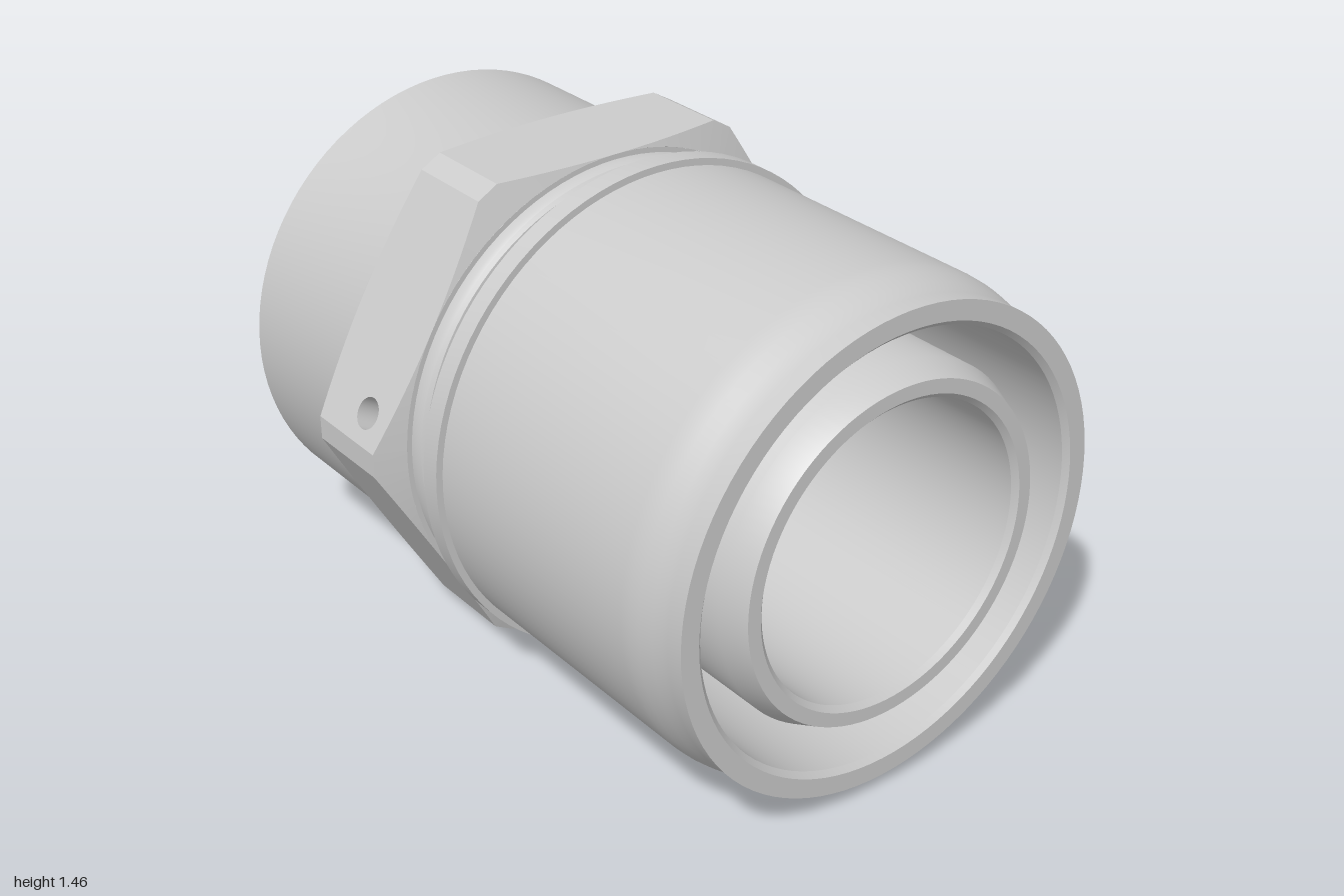
import * as THREE from 'three';
import { toCreasedNormals } from 'three/addons/utils/BufferGeometryUtils.js';

const material = new THREE.MeshStandardMaterial({ color: 0xcccccc });
const openMaterial = new THREE.MeshStandardMaterial({ color: 0xcccccc, side: THREE.DoubleSide });

// Turned part around the x axis; profile points are [x, radius]
function turned(name, profile) {
  const points = profile.map(([x, r]) => new THREE.Vector2(r, x));
  const geometry = new THREE.LatheGeometry(points, 96).rotateZ(-Math.PI / 2);
  const mesh = new THREE.Mesh(toCreasedNormals(geometry, 0.45), openMaterial);
  mesh.name = name;
  return mesh;
}

const APOTHEM = 0.705;      // centre to hex flat
const HALF_FLAT = 0.367;    // half width of a flat, corner cut off
const HALF_WIDTH = 0.165;   // half the hex length along x
const HOLE = { x: 0.05, u: -0.28, r: 0.045, depth: 0.08 };

// One side of the hex with its conical end chamfers, facing +z
function hexSide(apothem, halfFlat, steps, withHole) {
  const group = new THREE.Group();
  const rim = [];
  for (let i = 0; i <= steps; i++) {
    const u = halfFlat * (2 * i / steps - 1);
    const r = Math.hypot(apothem, u);
    rim.push({ u, r, x: HALF_WIDTH - (r - APOTHEM) * 0.32 });
  }
  const outline = [
    ...rim.map(p => new THREE.Vector2(p.x, p.u)),
    ...rim.slice().reverse().map(p => new THREE.Vector2(-p.x, p.u)),
  ];
  const shape = new THREE.Shape(outline);
  if (withHole) {
    shape.holes.push(new THREE.Path().absarc(HOLE.x, HOLE.u, HOLE.r, 0, Math.PI * 2, true));
  }
  const flat = new THREE.Mesh(new THREE.ShapeGeometry(shape, 16).translate(0, 0, apothem), material);
  flat.name = 'hexFlat';
  group.add(flat);

  // Chamfer strips between the curved rim and the end circle
  const positions = [];
  for (const s of [1, -1]) {
    for (let i = 0; i < steps; i++) {
      const [p0, p1] = [rim[i], rim[i + 1]];
      const outer = p => [s * p.x, p.u, apothem];
      const inner = p => [s * HALF_WIDTH, p.u * APOTHEM / p.r, apothem * APOTHEM / p.r];
      const quad = [outer(p0), inner(p0), inner(p1), outer(p1)];
      if (s < 0) quad.reverse();
      for (const k of [0, 1, 2, 0, 2, 3]) positions.push(...quad[k]);
    }
  }
  const geometry = new THREE.BufferGeometry();
  geometry.setAttribute('position', new THREE.Float32BufferAttribute(positions, 3));
  geometry.computeVertexNormals();
  const chamfer = new THREE.Mesh(toCreasedNormals(geometry, 0.4), material);
  chamfer.name = 'hexChamfer';
  group.add(chamfer);

  // Blind drilled hole
  if (withHole) {
    const wall = new THREE.Mesh(
      new THREE.CylinderGeometry(HOLE.r, HOLE.r, HOLE.depth, 32, 1, true).rotateX(Math.PI / 2), openMaterial);
    wall.position.set(HOLE.x, HOLE.u, apothem - HOLE.depth / 2);
    wall.name = 'holeWall';
    const floor = new THREE.Mesh(new THREE.CircleGeometry(HOLE.r, 32), material);
    floor.position.set(HOLE.x, HOLE.u, apothem - HOLE.depth);
    floor.name = 'holeFloor';
    group.add(wall, floor);
  }
  return group;
}

function hexCollar() {
  const hex = new THREE.Group();
  hex.name = 'hexCollar';
  // Corner facets share their edges with the flats
  const edgeRadius = Math.hypot(APOTHEM, HALF_FLAT);
  const cut = Math.PI / 6 - Math.atan2(HALF_FLAT, APOTHEM);
  for (let i = 0; i < 6; i++) {
    const flat = hexSide(APOTHEM, HALF_FLAT, 20, i === 0);
    flat.rotation.x = -Math.PI / 6 + i * Math.PI / 3;
    const corner = hexSide(edgeRadius * Math.cos(cut), edgeRadius * Math.sin(cut), 2, false);
    corner.rotation.x = i * Math.PI / 3;
    hex.add(flat, corner);
  }
  hex.position.x = -0.315;
  return hex;
}

export function createModel() {
  const model = new THREE.Group();
  model.name = 'hoseFitting';

  const fitting = new THREE.Group();
  fitting.name = 'fitting';
  fitting.position.y = 0.73;
  model.add(fitting);

  // Socket end: bore, rim, barrel and flare up to the hex
  fitting.add(turned('socket', [
    [-0.05, 0.425], [-0.47, 0.565], [-0.47, 0.615], [-0.985, 0.615], [-1, 0.63],
    [-1, 0.675], [-0.988, 0.685], [-0.51, 0.685], [-0.495, 0.689], [-0.48, 0.705],
  ]));

  fitting.add(hexCollar());

  // Rounded lip beside the hex, then the narrow neck
  fitting.add(turned('lipAndNeck', [
    [-0.15, 0.705], [-0.15, 0.69], [-0.125, 0.69], [-0.112, 0.685], [-0.103, 0.675],
    [-0.1, 0.66], [-0.1, 0.595], [-0.03, 0.595],
  ]));

  // Outer sleeve with flange, tapered mouth and deep hose recess
  fitting.add(turned('sleeve', [
    [-0.03, 0.595], [-0.03, 0.73], [0.03, 0.73], [0.03, 0.71], [0.8, 0.71],
    [0.83, 0.708], [0.86, 0.702], [0.9, 0.692], [0.93, 0.686], [0.95, 0.685], [1, 0.685],
    [1, 0.63], [0.985, 0.615], [0.05, 0.615], [0.05, 0.51],
  ]));

  // Inner pipe running through the sleeve
  fitting.add(turned('innerPipe', [
    [0.05, 0.51], [0.93, 0.51], [1, 0.48], [1, 0.44], [0.985, 0.425], [-0.05, 0.425],
  ]));

  return model;
}
